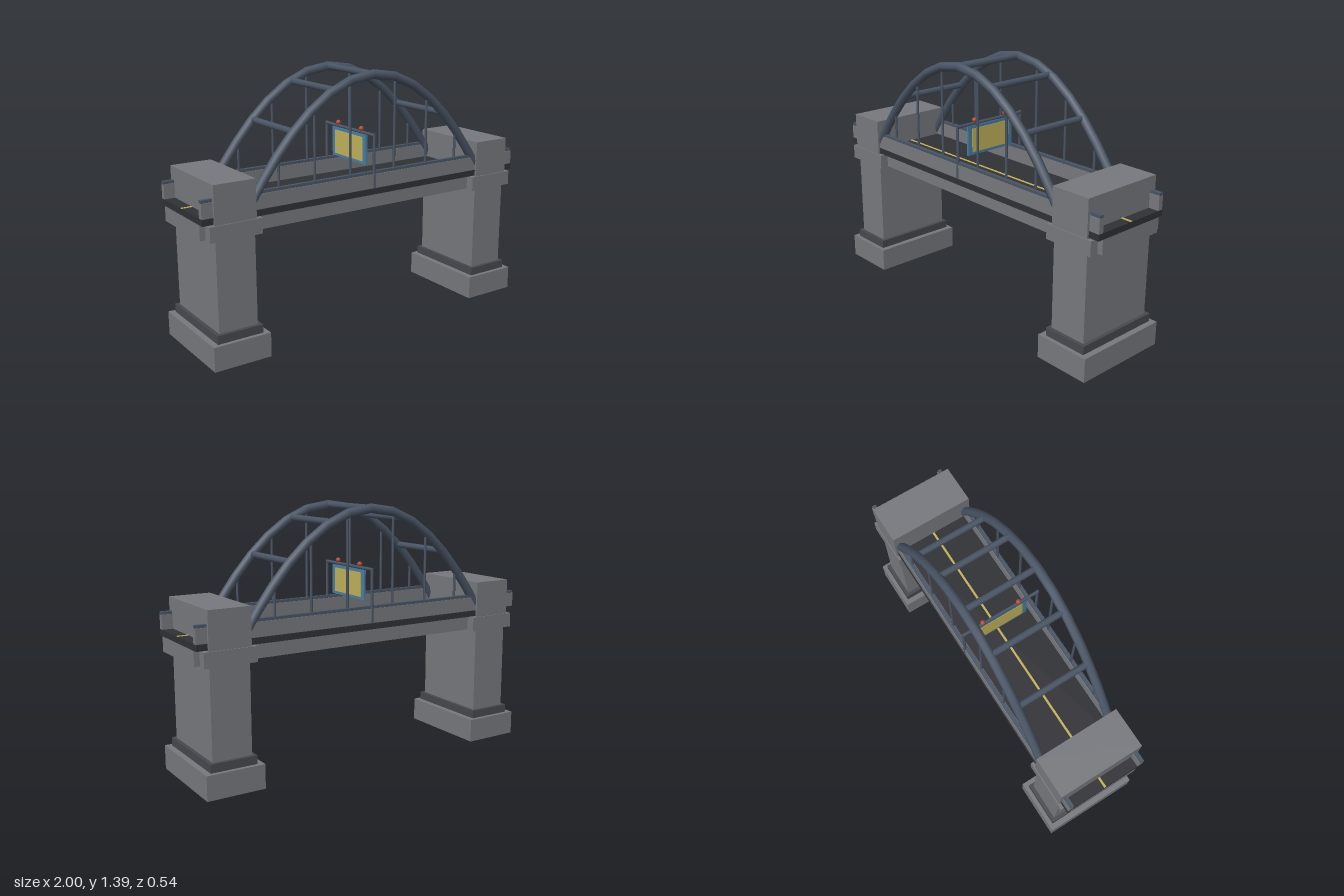
import * as THREE from 'three';

const mat = (color, side = THREE.FrontSide) => new THREE.MeshStandardMaterial({ color, side });
const stone = mat(0x77797e);
const darkStone = mat(0x47494f);
const asphalt = mat(0x303136);
const steel = mat(0x4a5565);
const yellow = mat(0xc2b25a);
const blue = mat(0x4a7ea3);
const red = mat(0xb0473a);

// Box given by its min and max corners
function box(parent, name, material, x0, x1, y0, y1, z0, z1) {
  const mesh = new THREE.Mesh(new THREE.BoxGeometry(x1 - x0, y1 - y0, z1 - z0), material);
  mesh.position.set((x0 + x1) / 2, (y0 + y1) / 2, (z0 + z1) / 2);
  mesh.name = name;
  parent.add(mesh);
}

// Round bar between two points
function bar(parent, name, material, a, b, radius, sides = 8) {
  const from = new THREE.Vector3(...a), to = new THREE.Vector3(...b);
  const dir = to.clone().sub(from);
  const mesh = new THREE.Mesh(new THREE.CylinderGeometry(radius, radius, dir.length(), sides), material);
  mesh.position.copy(from).add(to).multiplyScalar(0.5);
  mesh.quaternion.setFromUnitVectors(new THREE.Vector3(0, 1, 0), dir.normalize());
  mesh.name = name;
  parent.add(mesh);
}

const ARCH_TOP = 1.37, ARCH_END = 0.74, ARCH_FOOT = 0.78, ARCH_Z = 0.21;
const archY = (x) => ARCH_TOP - (ARCH_TOP - ARCH_FOOT) * (x / ARCH_END) ** 2;

function createPier(side) {
  const pier = new THREE.Group();
  pier.name = side < 0 ? 'rightPier' : 'leftPier';
  // name, material, half width, bottom, top, half depth
  const tiers = [
    ['footing', stone, 0.158, 0, 0.13, 0.272],
    ['plinth', darkStone, 0.126, 0.13, 0.175, 0.25],
    ['shaft', stone, 0.107, 0.175, 0.65, 0.23],
    ['pierCap', stone, 0.142, 0.65, 0.73, 0.248],
    ['abutmentBlock', stone, 0.113, 0.73, 0.93, 0.242],
  ];
  for (const [name, material, w, y0, y1, d] of tiers) box(pier, name, material, -w, w, y0, y1, -d, d);
  pier.position.x = side * 0.828;
  return pier;
}

function createDeck() {
  const deck = new THREE.Group();
  deck.name = 'deck';
  box(deck, 'deckBeam', stone, -1, 1, 0.655, 0.735, -0.2, 0.2);
  box(deck, 'roadSlab', asphalt, -1, 1, 0.735, 0.768, -0.232, 0.232);
  box(deck, 'centreLine', yellow, -1, 1, 0.767, 0.771, -0.006, 0.006);
  for (const s of [-1, 1]) {
    const z = s * 0.215;
    box(deck, 'parapet', stone, -1, 1, 0.766, 0.845, z - 0.014, z + 0.014);
    box(deck, 'handrail', steel, -1, 1, 0.845, 0.86, z - 0.01, z + 0.01);
  }
  return deck;
}

function createArches() {
  const arches = new THREE.Group();
  arches.name = 'arches';
  for (const s of [-1, 1]) {
    const z = s * ARCH_Z;
    const curve = new THREE.QuadraticBezierCurve3(
      new THREE.Vector3(-ARCH_END, ARCH_FOOT, z),
      new THREE.Vector3(0, 2 * ARCH_TOP - ARCH_FOOT, z),
      new THREE.Vector3(ARCH_END, ARCH_FOOT, z));
    const arch = new THREE.Mesh(new THREE.TubeGeometry(curve, 14, 0.025, 8), steel);
    arch.name = 'archRib';
    arches.add(arch);
    // Vertical hangers
    for (const x of [-0.57, -0.36, -0.143, 0.143, 0.36, 0.57])
      bar(arches, 'hanger', steel, [x, 0.765, z], [x, archY(x), z], 0.007);
  }
  // Cross braces between the ribs
  for (const x of [-0.48, -0.24, 0, 0.24, 0.48])
    bar(arches, 'crossBrace', steel, [x, archY(x), -ARCH_Z], [x, archY(x), ARCH_Z], 0.018);
  return arches;
}

function createSignGantry() {
  const gantry = new THREE.Group();
  gantry.name = 'signGantry';
  for (const s of [-1, 1]) {
    bar(gantry, 'gantryPost', steel, [0, 0.765, s * 0.225], [0, 1.06, s * 0.225], 0.008);
    const lamp = new THREE.Mesh(new THREE.SphereGeometry(0.014, 12, 8), red);
    lamp.position.set(0, 1.07, s * 0.108);
    lamp.name = 'warningLamp';
    gantry.add(lamp);
  }
  bar(gantry, 'gantryBeam', steel, [0, 1.052, -0.225], [0, 1.052, 0.225], 0.009);
  box(gantry, 'signFrame', blue, -0.006, 0.006, 0.88, 1.043, -0.157, 0.157);
  box(gantry, 'signPanel', yellow, -0.008, 0.008, 0.895, 1.027, -0.13, 0.13);
  return gantry;
}

export function createModel() {
  const model = new THREE.Group();
  model.name = 'archBridge';
  model.add(createPier(-1), createPier(1), createDeck(), createArches(), createSignGantry());
  return model;
}
